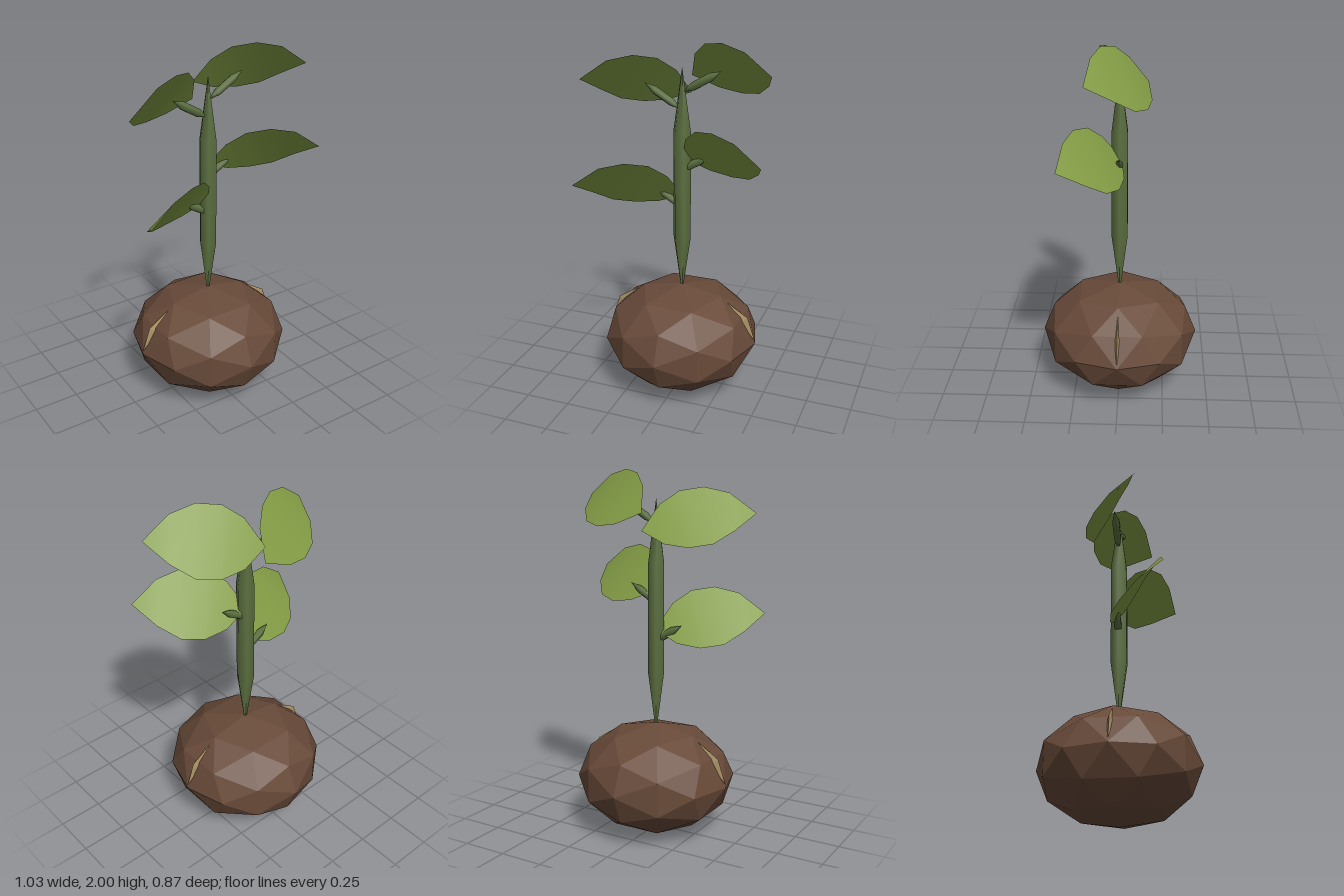
import * as THREE from 'three';

const paint = (name, color, extra = {}) => {
  const m = new THREE.MeshStandardMaterial({ color, ...extra });
  m.name = name;
  return m;
};

// Six-sided spindle along y: a prism with a long point at each end
function spindle(length, radius, taper) {
  const h = length / 2;
  const profile = [[0, -h], [radius, -h + taper], [radius, h - taper], [0, h]]
    .map(([r, y]) => new THREE.Vector2(r, y));
  return new THREE.LatheGeometry(profile, 6, Math.PI / 2);
}

// Arched leaf: base, pairs of upper and lower edge points, tip
const LEAF_BASE = [0, 1.775, -0.15];
const LEAF_TIP = [0.515, 1.867, 0.15];
const LEAF_PAIRS = [
  [[0.05, 1.91, -0.05], [0.15, 1.715, -0.17]],
  [[0.13, 1.98, 0.02], [0.28, 1.70, -0.15]],
  [[0.24, 2.0, 0.085], [0.39, 1.72, -0.09]],
  [[0.37, 1.97, 0.125], [0.465, 1.785, 0.005]],
];

function leafGeometry(side) {
  const points = [LEAF_BASE, ...LEAF_PAIRS.flat(), LEAF_TIP];
  const positions = points.flatMap(([x, y, z]) => [x * side, y, z]);
  const faces = [[0, 1, 2]];
  for (let i = 1; i < 7; i += 2) faces.push([i, i + 2, i + 3], [i, i + 3, i + 1]);
  faces.push([7, 9, 8]);
  // Keep the front face on the upper side of the leaf for both sides
  const index = faces.flatMap(([a, b, c]) => (side > 0 ? [a, b, c] : [a, c, b]));
  const g = new THREE.BufferGeometry();
  g.setAttribute('position', new THREE.Float32BufferAttribute(positions, 3));
  g.setIndex(index);
  g.computeVertexNormals();
  return g;
}

export function createModel() {
  const model = new THREE.Group();
  model.name = 'sproutingSeed';

  const seedBrown = paint('seedBrown', 0x684a39, { flatShading: true });
  const crackTan = paint('crackTan', 0xa68f63, { flatShading: true });
  const stemGreen = paint('stemGreen', 0x5c7040);
  const leafGreen = paint('leafGreen', 0x839c45, { side: THREE.DoubleSide });

  const add = (name, geometry, material, x = 0, y = 0, z = 0, tilt = 0) => {
    const mesh = new THREE.Mesh(geometry, material);
    mesh.name = name;
    mesh.position.set(x, y, z);
    mesh.rotation.z = tilt;
    model.add(mesh);
    return mesh;
  };

  // Squashed faceted seed
  add('seed', new THREE.IcosahedronGeometry(0.437, 1).scale(1, 0.7, 1), seedBrown, 0, 0.31);

  // Pale splinters on both sides of the seed
  for (const side of [1, -1]) {
    const splinter = new THREE.OctahedronGeometry(1).scale(0.047, 0.134, 0.018);
    add(side > 0 ? 'leftSplinter' : 'rightSplinter', splinter, crackTan,
      side * 0.353, 0.435, 0, side * 0.67);
  }

  // Main stem
  add('stem', spindle(1.3, 0.05, 0.35), stemGreen, 0, 1.2);

  // Branches and leaves in two tiers, the right-hand ones set lower
  const tiers = [
    { name: 'upper', branchX: 0.107, branchY: 1.779, leafY: 0, leafZ: 0, drop: 0.092 },
    { name: 'lower', branchX: 0.055, branchY: 1.327, leafY: -0.42, leafZ: 0.14, drop: 0.213 },
  ];
  for (const t of tiers) {
    for (const side of [1, -1]) {
      const label = t.name + (side > 0 ? 'Left' : 'Right');
      const drop = side > 0 ? 0 : t.drop;
      add(label + 'Branch', spindle(0.245, 0.022, 0.066), stemGreen,
        side * t.branchX, t.branchY - drop, 0, -side * 1.03);
      add(label + 'Leaf', leafGeometry(side), leafGreen, 0, t.leafY - drop, t.leafZ);
    }
  }
  return model;
}
